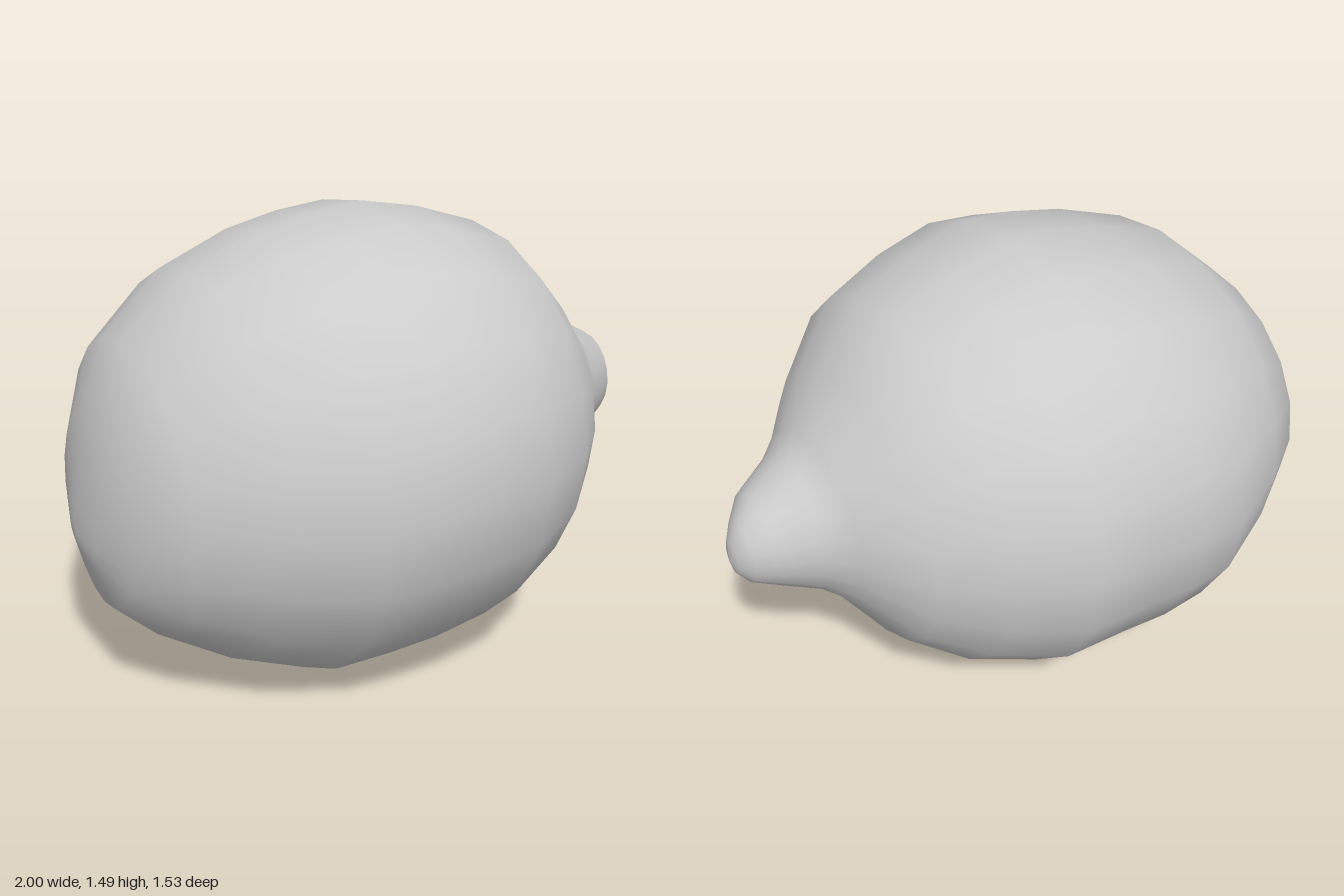
import * as THREE from 'three';

// Cross-sections along the fruit: x, bottom y, top y, back z, front z
const SECTIONS = [
  [-0.98, 0.48, 0.63, -0.19, 0.03],
  [-0.945, 0.33, 0.94, -0.31, 0.24],
  [-0.83, 0.22, 1.15, -0.52, 0.42],
  [-0.62, 0.10, 1.34, -0.65, 0.61],
  [-0.38, 0.00, 1.43, -0.75, 0.715],
  [-0.20, 0.01, 1.47, -0.77, 0.755],
  [-0.03, 0.02, 1.49, -0.755, 0.765],
  [0.18, 0.035, 1.45, -0.73, 0.73],
  [0.40, 0.13, 1.38, -0.61, 0.63],
  [0.58, 0.30, 1.20, -0.47, 0.47],
  [0.70, 0.48, 1.04, -0.27, 0.32],
  [0.77, 0.54, 0.99, -0.19, 0.25],
  [0.90, 0.61, 0.92, -0.11, 0.175],
  [0.96, 0.65, 0.87, -0.07, 0.10],
  [0.99, 0.69, 0.81, -0.02, 0.06],
];
const BLOSSOM_END = [-1, 0.56, -0.09];
const STEM_END = [1, 0.73, 0.02];
const SIDES = 20;

// Closed loft through the sections, with one shared vertex at each end
function loft(sections, start, end, sides) {
  const pos = [];
  const index = [];
  for (const [x, y0, y1, z0, z1] of sections) {
    for (let j = 0; j < sides; j++) {
      const a = (j / sides) * Math.PI * 2;
      pos.push(
        x,
        (y0 + y1) / 2 + ((y1 - y0) / 2) * Math.cos(a),
        (z0 + z1) / 2 + ((z1 - z0) / 2) * Math.sin(a)
      );
    }
  }
  const s = sections.length * sides;
  const last = s - sides;
  pos.push(...start, ...end);
  for (let j = 0; j < sides; j++) {
    const k = (j + 1) % sides;
    for (let r = 0; r < last; r += sides) {
      index.push(r + j, r + k, r + sides + j);
      index.push(r + k, r + sides + k, r + sides + j);
    }
    index.push(s, k, j);
    index.push(s + 1, last + j, last + k);
  }
  const geo = new THREE.BufferGeometry();
  geo.setAttribute('position', new THREE.Float32BufferAttribute(pos, 3));
  geo.setIndex(index);
  geo.computeVertexNormals();
  return geo;
}

export function createModel() {
  const group = new THREE.Group();
  group.name = 'lemon';
  // Rind with its pointed nipple at +x
  const rind = new THREE.Mesh(
    loft(SECTIONS, BLOSSOM_END, STEM_END, SIDES),
    new THREE.MeshStandardMaterial({ color: 0xcccccc })
  );
  rind.name = 'rind';
  group.add(rind);
  return group;
}
